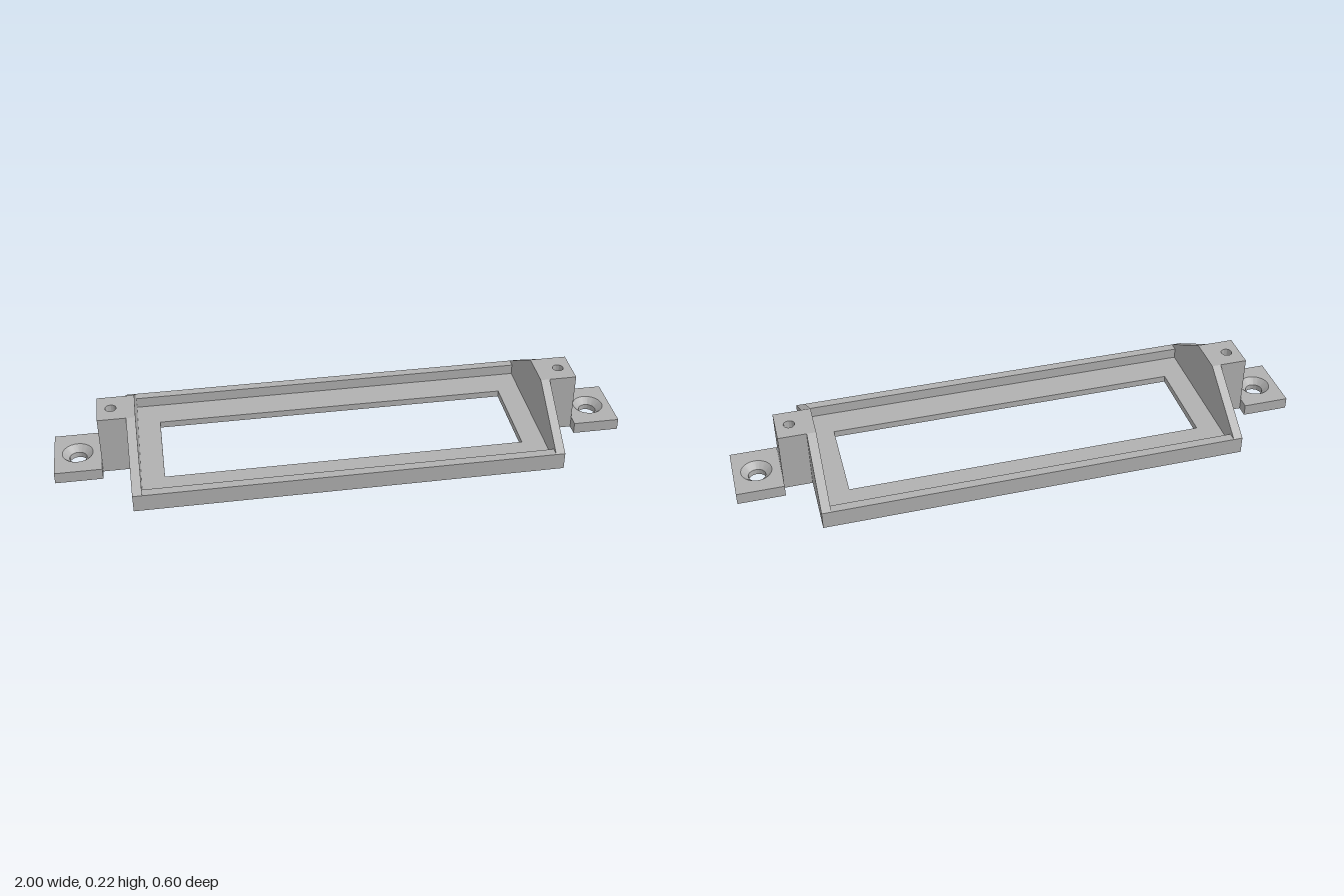
import * as THREE from 'three';
import { toCreasedNormals } from 'three/addons/utils/BufferGeometryUtils.js';

const grey = new THREE.MeshStandardMaterial({ color: 0xb0b0b0 });
grey.name = 'grey plastic';

const HX = 0.74, HZ = 0.302;      // half size of the frame
const RIM = 0.032;                // rim and end wall thickness
const FLOOR = 0.024, RIM_TOP = 0.062, TOP = 0.215;
const BOSS_X = 0.837, BOSS_Z = 0.067;

function rect(x0, x1, hz, Type = THREE.Shape) {
  const s = new Type();
  s.moveTo(x0, -hz);
  s.lineTo(x1, -hz);
  s.lineTo(x1, hz);
  s.lineTo(x0, hz);
  s.closePath();
  return s;
}

function circle(x, r) {
  const p = new THREE.Path();
  p.absarc(x, 0, r, 0, Math.PI * 2, true);
  return p;
}

// Extrude a plan outline upwards from y0 to y1
function slab(shape, y0, y1, steps = 1) {
  const g = new THREE.ExtrudeGeometry(shape, { depth: y1 - y0, bevelEnabled: false, curveSegments: 32, steps });
  g.rotateX(-Math.PI / 2);
  g.translate(0, y0, 0);
  return g;
}

function add(parent, name, geometry) {
  const m = new THREE.Mesh(toCreasedNormals(geometry, 0.5), grey);
  m.name = name;
  parent.add(m);
  return m;
}

function box(x0, x1, y0, y1, z0, z1) {
  return new THREE.BoxGeometry(x1 - x0, y1 - y0, z1 - z0)
    .translate((x0 + x1) / 2, (y0 + y1) / 2, (z0 + z1) / 2);
}

// Mounting tab with a countersunk screw hole
function tabGeometry() {
  const cx = 0.92, rTop = 0.053, rLow = 0.03, thick = 0.041;
  const s = rect(BOSS_X, 1, 0.108);
  s.holes.push(circle(cx, rTop));
  const g = slab(s, 0, thick, 2);
  const p = g.attributes.position;
  for (let i = 0; i < p.count; i++) {
    const dx = p.getX(i) - cx, z = p.getZ(i);
    if (p.getY(i) < thick * 0.75 && Math.hypot(dx, z) < rTop + 0.005) {
      p.setX(i, cx + dx * rLow / rTop);
      p.setZ(i, z * rLow / rTop);
    }
  }
  g.computeVertexNormals();
  return g;
}

function buildEnd() {
  const end = new THREE.Group();

  // Tapered end wall
  const w = new THREE.Shape();
  w.moveTo(-HZ, FLOOR);
  w.lineTo(HZ, FLOOR);
  w.lineTo(HZ, RIM_TOP);
  w.lineTo(BOSS_Z, TOP);
  w.lineTo(-BOSS_Z, TOP);
  w.lineTo(-HZ, RIM_TOP);
  w.closePath();
  const wall = new THREE.ExtrudeGeometry(w, { depth: RIM, bevelEnabled: false });
  wall.rotateY(Math.PI / 2);
  wall.translate(HX - RIM, 0, 0);
  add(end, 'endWall', wall);

  // Boss with a blind pilot hole
  const b = rect(HX, BOSS_X, BOSS_Z);
  b.holes.push(circle(0.79, 0.019));
  add(end, 'bossTop', slab(b, 0.06, TOP));
  add(end, 'bossBase', box(HX, BOSS_X, 0, 0.06, -BOSS_Z, BOSS_Z));

  add(end, 'mountingTab', tabGeometry());
  return end;
}

export function createModel() {
  const model = new THREE.Group();
  model.name = 'mountingFrame';

  // Floor plate with the window opening
  const f = rect(-HX, HX, HZ);
  f.holes.push(rect(-0.628, 0.628, 0.162, THREE.Path));
  add(model, 'framePlate', slab(f, 0, FLOOR));

  // Raised rims along the long sides
  const rx = HX - RIM;
  add(model, 'frontRim', box(-rx, rx, FLOOR, RIM_TOP, HZ - RIM, HZ));
  add(model, 'backRim', box(-rx, rx, FLOOR, RIM_TOP, -HZ, -HZ + RIM));

  // The two ends are the same part turned half a turn
  const left = buildEnd();
  left.name = 'leftEnd';
  const right = buildEnd();
  right.name = 'rightEnd';
  right.rotation.y = Math.PI;
  model.add(left, right);
  return model;
}
